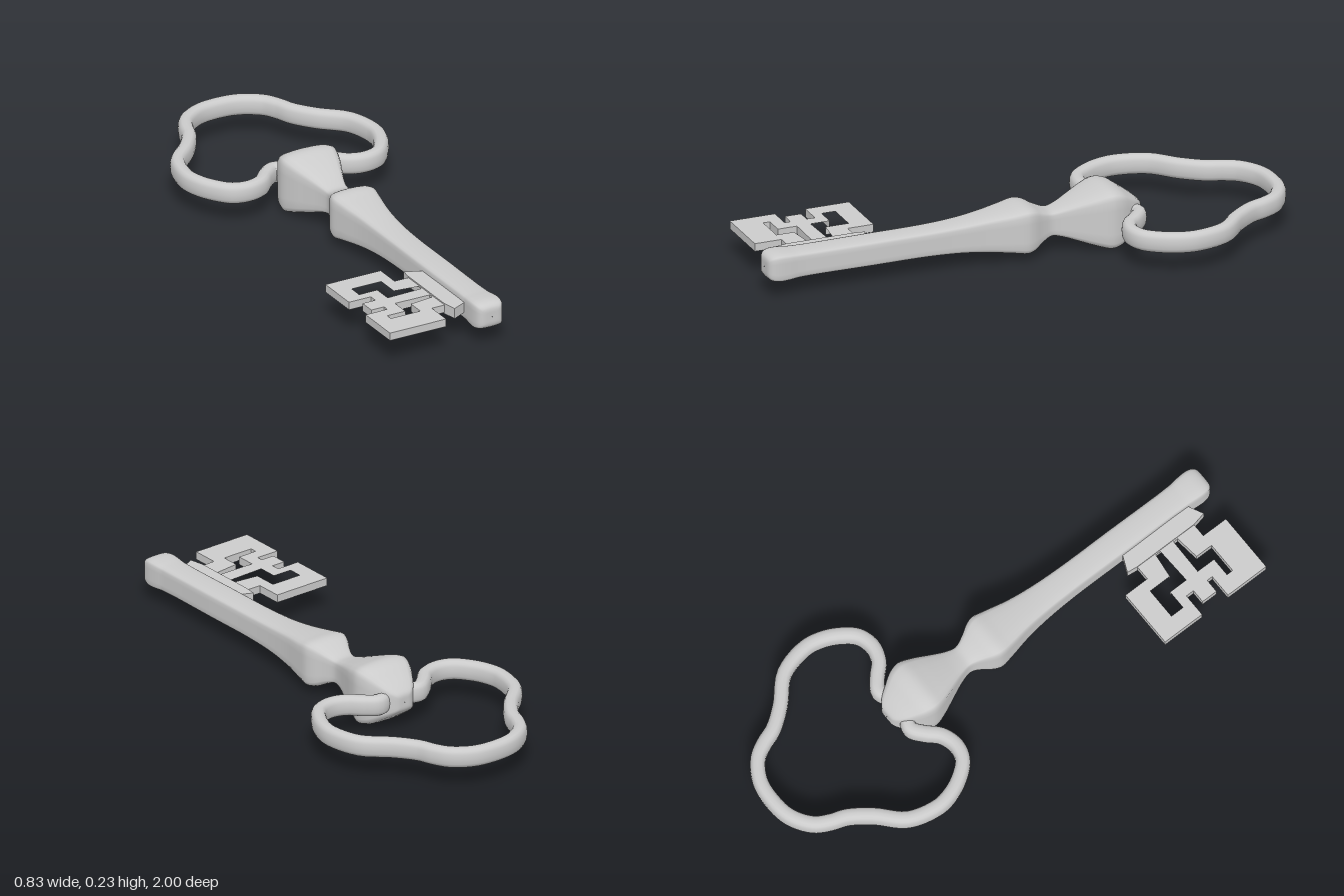
import * as THREE from 'three';

const grey = new THREE.MeshStandardMaterial({ color: 0xcccccc });
const AXIS_Y = 0.118;

// Cross-sections as unit [side, up] points, counter-clockwise
const quarter = [[1, 0], [1, 0.4], [1, 0.72], [0.92, 0.88], [0.75, 0.95], [0.4, 0.985]];
const squareSection = [0, 1, 2, 3].flatMap(k => {
  const pts = k % 2 ? quarter.map(([a, b]) => [b, a]).reverse() : quarter;
  const sx = k === 0 || k === 3 ? 1 : -1, sy = k < 2 ? 1 : -1;
  const list = k % 2 ? [...quarter].reverse() : pts;
  // each quadrant keeps one of the points lying on an axis
  const own = k % 2 ? [[0, 1], ...list.slice(0, -1)] : k === 0 ? list : [[-1, 0], ...list.slice(1)];
  return (k === 3 ? [[0, 1], ...[...quarter].reverse().slice(0, -1)] : own)
    .map(([a, b]) => [Math.abs(a) * sx, b * sy]);
});
const ringSection = Array.from({ length: 16 }, (_, i) => {
  const t = i / 16 * Math.PI * 2, f = v => Math.sign(v) * Math.abs(v) ** 0.75;
  return [f(Math.cos(t)), f(Math.sin(t))];
});

// Sweep a section along stations { p, t, w, h } lying in a level plane
function sweep(stations, section, name) {
  const pos = [], idx = [], n = section.length;
  const up = new THREE.Vector3(0, 1, 0);
  stations.forEach(({ p, t, w, h }, i) => {
    const side = new THREE.Vector3().crossVectors(up, t).normalize();
    section.forEach(([a, b], j) => {
      pos.push(p.x + side.x * a * w, p.y + b * h, p.z + side.z * a * w);
      if (i === stations.length - 1) return;
      const A = i * n + j, B = i * n + (j + 1) % n;
      idx.push(A, B, B + n, A, B + n, A + n);
    });
  });
  const geo = new THREE.BufferGeometry();
  geo.setAttribute('position', new THREE.Float32BufferAttribute(pos, 3));
  geo.setIndex(idx);
  geo.computeVertexNormals();
  const mesh = new THREE.Mesh(geo, grey);
  mesh.name = name;
  return mesh;
}

// Square baluster stem: [z, half width, half height]
function makeStem() {
  const profile = [
    [-0.45, 0.001, 0.001], [-0.448, 0.03, 0.03], [-0.43, 0.055, 0.05], [-0.39, 0.083, 0.08],
    [-0.35, 0.105, 0.106], [-0.31, 0.113, 0.114], [-0.26, 0.1, 0.1], [-0.2, 0.075, 0.078],
    [-0.14, 0.052, 0.056], [-0.1, 0.045, 0.048], [-0.06, 0.06, 0.062], [-0.02, 0.082, 0.083],
    [0.01, 0.09, 0.088], [0.06, 0.083, 0.08], [0.15, 0.066, 0.067], [0.25, 0.056, 0.056],
    [0.38, 0.051, 0.05], [0.6, 0.051, 0.049], [0.88, 0.051, 0.049], [0.92, 0.055, 0.052],
    [0.96, 0.056, 0.053], [0.985, 0.05, 0.047], [0.998, 0.036, 0.034], [1, 0.001, 0.001]];
  const curve = new THREE.CatmullRomCurve3(
    profile.map(([z, w, h]) => new THREE.Vector3(w, h, z)), false, 'centripetal');
  const t = new THREE.Vector3(0, 0, 1), steps = (profile.length - 1) * 4;
  const stations = Array.from({ length: steps + 1 }, (_, i) => {
    const q = curve.getPoint(i / steps);
    return { p: new THREE.Vector3(0, AXIS_Y, q.z), t, w: q.x, h: q.y };
  });
  return sweep(stations, squareSection, 'stem');
}

// Three-lobed handle loop whose ends curl into the stem
function makeBow() {
  const half = [
    [0.02, -0.33], [0.045, -0.39], [0.09, -0.415], [0.135, -0.386], [0.18, -0.343], [0.24, -0.325],
    [0.3, -0.341], [0.347, -0.395], [0.375, -0.455], [0.385, -0.52], [0.355, -0.635],
    [0.268, -0.724], [0.213, -0.8], [0.19, -0.86], [0.158, -0.913], [0.085, -0.96]];
  const pts = [...half, [0, -0.972], ...[...half].reverse().map(([x, z]) => [-x, z])];
  const curve = new THREE.CatmullRomCurve3(pts.map(([x, z]) => new THREE.Vector3(x, 0.121, z)));
  const steps = 160;
  const stations = Array.from({ length: steps + 1 }, (_, i) => ({
    p: curve.getPoint(i / steps), t: curve.getTangent(i / steps), w: 0.028, h: 0.038 }));
  return sweep(stations, ringSection, 'bow');
}

// Flat plate cut from [x, z] outlines
function plate(outline, holes, y, thickness, name) {
  const toV = list => list.map(([x, z]) => new THREE.Vector2(x, -z));
  const shape = new THREE.Shape(toV(outline));
  holes.forEach(h => shape.holes.push(new THREE.Path(toV(h))));
  const geo = new THREE.ExtrudeGeometry(shape, { depth: thickness, bevelEnabled: false });
  geo.rotateX(-Math.PI / 2).translate(0, y - thickness / 2, 0);
  const mesh = new THREE.Mesh(geo, grey);
  mesh.name = name;
  return mesh;
}

function makeBit() {
  const bit = new THREE.Group();
  bit.name = 'bit';
  const outline = [
    [-0.402, 0.503], [-0.174, 0.503], [-0.174, 0.603], [-0.11, 0.603], [-0.11, 0.862],
    [-0.17, 0.862], [-0.17, 0.965], [-0.402, 0.965], [-0.402, 0.79], [-0.312, 0.79],
    [-0.312, 0.767], [-0.365, 0.767], [-0.365, 0.704], [-0.312, 0.704], [-0.312, 0.672],
    [-0.402, 0.672]];
  const upper = [
    [-0.339, 0.582], [-0.217, 0.582], [-0.217, 0.672], [-0.122, 0.683], [-0.122, 0.704],
    [-0.264, 0.709], [-0.264, 0.635], [-0.339, 0.635]];
  const lower = [
    [-0.339, 0.862], [-0.217, 0.862], [-0.217, 0.794], [-0.122, 0.783], [-0.122, 0.764],
    [-0.264, 0.762], [-0.264, 0.836], [-0.339, 0.836]];
  const collar = [
    [-0.03, 0.587], [-0.053, 0.587], [-0.112, 0.561], [-0.117, 0.603], [-0.117, 0.862],
    [-0.106, 0.915], [-0.053, 0.889], [-0.03, 0.889]];
  bit.add(plate(outline, [upper, lower], 0.12, 0.03, 'wards'));
  bit.add(plate(collar, [], 0.12, 0.04, 'bitCollar'));
  return bit;
}

export function createModel() {
  const key = new THREE.Group();
  key.name = 'key';
  key.add(makeStem(), makeBow(), makeBit());
  return key;
}
